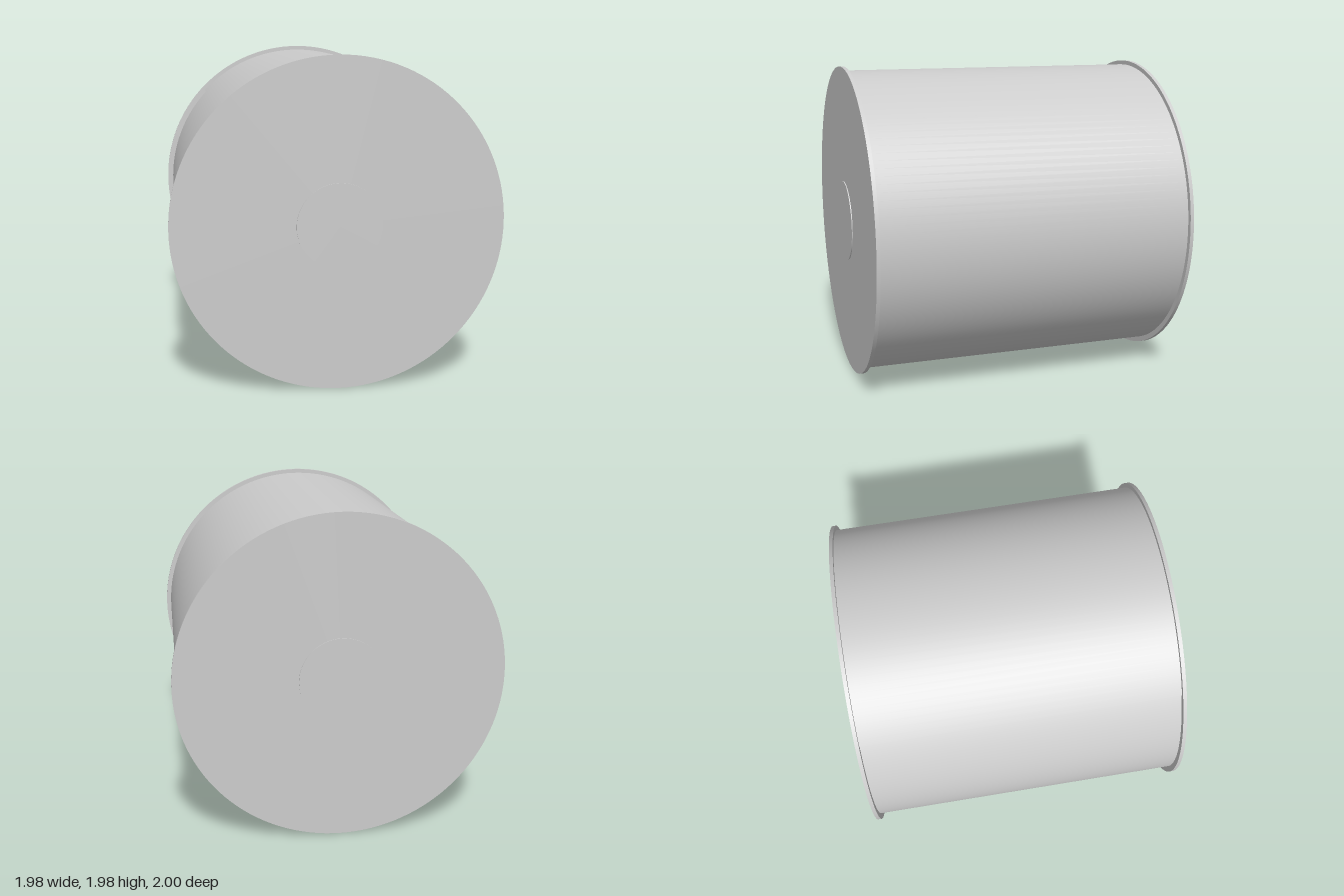
import * as THREE from 'three';

const CENTER_Y = 0.99;
const material = new THREE.MeshStandardMaterial({ color: 0xcccccc });
const sheetMaterial = new THREE.MeshStandardMaterial({ color: 0xcccccc, side: THREE.DoubleSide });

// Solid disc whose axis runs along z
function disc(name, radius, thickness, z) {
  const geometry = new THREE.CylinderGeometry(radius, radius, thickness, 128);
  geometry.rotateX(Math.PI / 2);
  const mesh = new THREE.Mesh(geometry, material);
  mesh.name = name;
  mesh.position.z = z;
  return mesh;
}

export function createModel() {
  const spool = new THREE.Group();
  spool.name = 'spool';
  spool.position.y = CENTER_Y;

  // Wound sheet: a tube whose radius grows slightly up to its loose edge
  const seam = -2.33, inner = 0.951, outer = 0.965, length = 1.95;
  const wrap = new THREE.CylinderGeometry(1, 1, length, 128, 1, true, seam - 2 * Math.PI, 2 * Math.PI);
  const pos = wrap.attributes.position, uv = wrap.attributes.uv;
  for (let i = 0; i < pos.count; i++) {
    const r = inner + (outer - inner) * uv.getX(i);
    pos.setX(i, pos.getX(i) * r);
    pos.setZ(i, pos.getZ(i) * r);
  }
  wrap.rotateX(Math.PI / 2);
  const sheet = new THREE.Mesh(wrap, sheetMaterial);
  sheet.name = 'woundSheet';
  spool.add(sheet);

  // Step where the sheet ends
  const edge = new THREE.Mesh(new THREE.PlaneGeometry(outer - inner, length), sheetMaterial);
  edge.geometry.rotateX(Math.PI / 2);
  edge.name = 'sheetEdge';
  const mid = (inner + outer) / 2;
  edge.position.set(Math.sin(seam) * mid, -Math.cos(seam) * mid, 0);
  edge.rotation.z = seam - Math.PI / 2;
  spool.add(edge);

  // Matching flange and hub cap at each end
  for (const [side, s] of [['front', 1], ['back', -1]]) {
    spool.add(disc(side + 'Flange', 0.99, 0.023, s * 0.9825));
    spool.add(disc(side + 'HubCap', 0.255, 0.034, s * 0.983));
  }

  const model = new THREE.Group();
  model.name = 'model';
  model.add(spool);
  return model;
}
